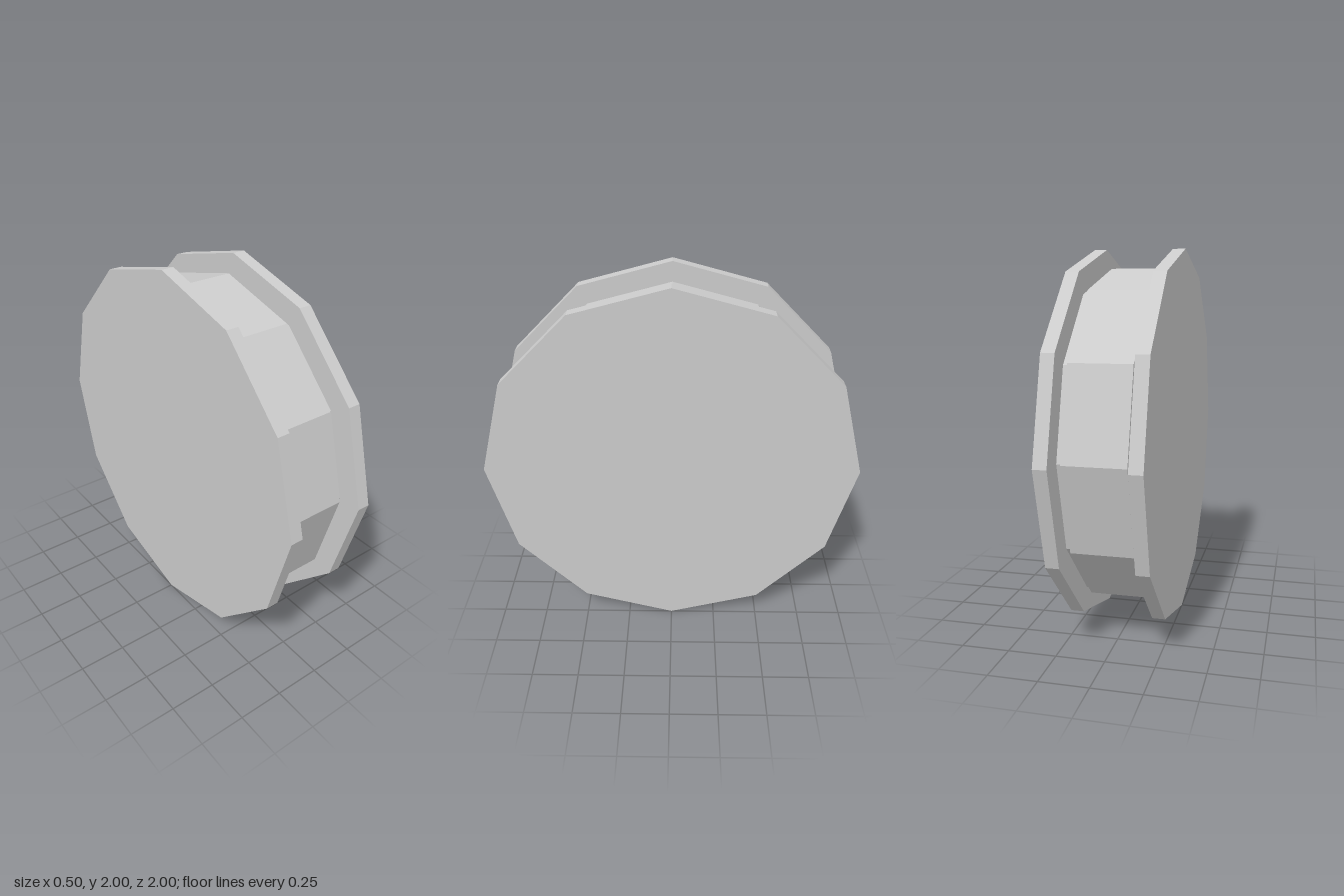
import * as THREE from 'three';

const SIDES = 12;
const material = new THREE.MeshStandardMaterial({ color: 0xcccccc, flatShading: true });

// Twelve-sided disc lying along the x axis, spanning x0 to x1
function disc(name, radius, x0, x1) {
  const geometry = new THREE.CylinderGeometry(radius, radius, x1 - x0, SIDES);
  geometry.rotateZ(-Math.PI / 2);
  const mesh = new THREE.Mesh(geometry, material);
  mesh.name = name;
  mesh.position.set((x0 + x1) / 2, 1, 0);
  return mesh;
}

export function createModel() {
  const group = new THREE.Group();
  group.name = 'flangedWheel';

  // Raised central band
  group.add(disc('drum', 0.9, -0.155, 0.155));

  // Recessed collars between the drum and the flanges
  group.add(disc('leftCollar', 0.875, 0.155, 0.182));
  group.add(disc('rightCollar', 0.875, -0.182, -0.155));

  // Outer flanges
  group.add(disc('leftFlange', 1, 0.182, 0.25));
  group.add(disc('rightFlange', 1, -0.25, -0.182));

  return group;
}
